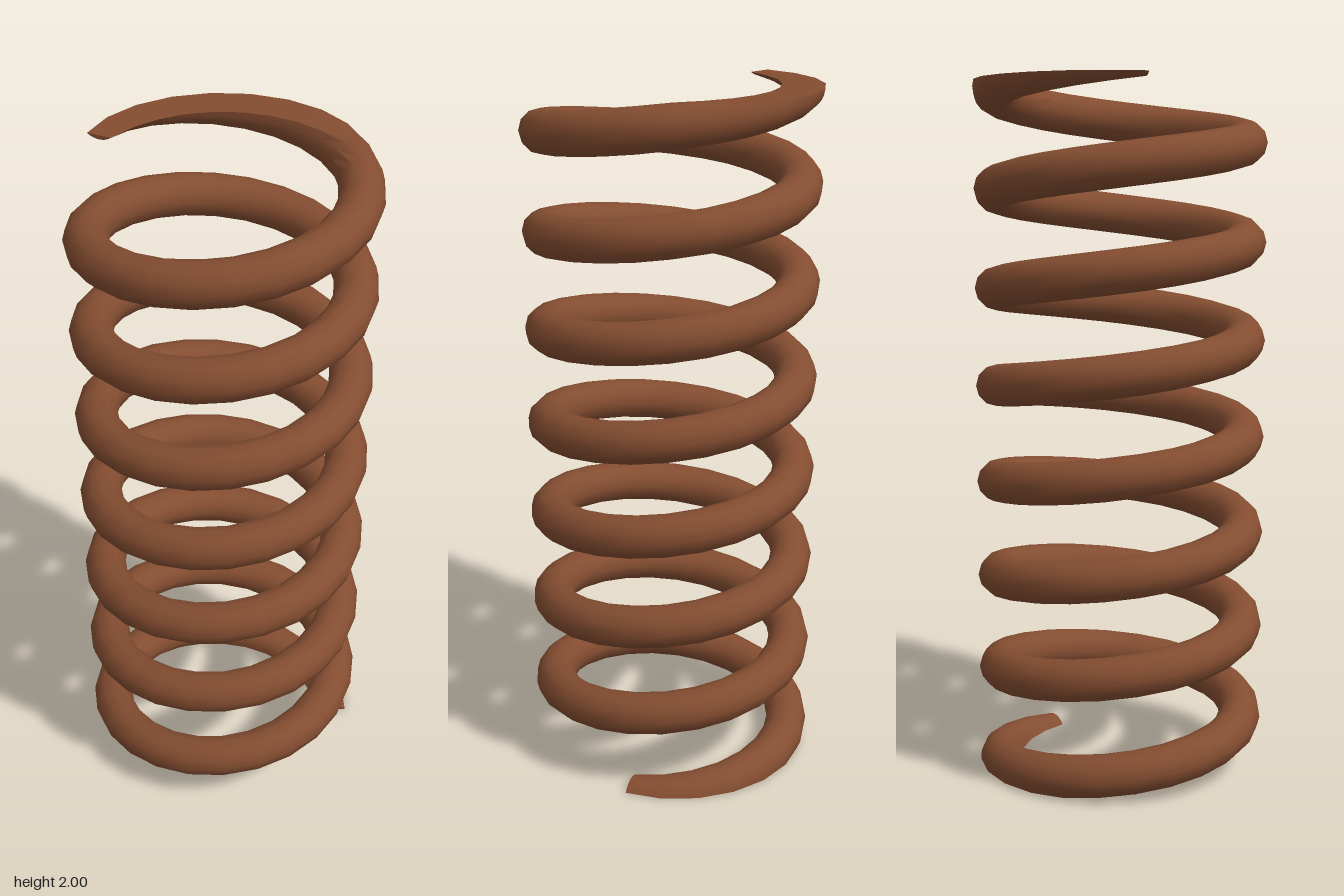
import * as THREE from 'three';
import { toCreasedNormals } from 'three/addons/utils/BufferGeometryUtils.js';

const COIL_RADIUS = 0.36;
const WIRE_RADIUS = 0.061;
const PITCH = 0.281;
const HEIGHT = 2;
const STEPS_PER_TURN = 24;
const ARC_POINTS = 7; // points on each half of the wire section

// Wire section at one turn angle: an outer and an inner arc,
// cut off where the wire would pass the floor or the top plane.
function wireSection(t) {
  const cy = 0.102 + (PITCH * t) / (2 * Math.PI);
  const cut = (y) => Math.asin(THREE.MathUtils.clamp((y - cy) / WIRE_RADIUS, -1, 1));
  const low = cut(0);
  const high = cut(HEIGHT);
  const points = [];
  for (let side = 0; side < 2; side++) {
    for (let k = 0; k < ARC_POINTS; k++) {
      const f = k / (ARC_POINTS - 1);
      const a = side === 0
        ? THREE.MathUtils.lerp(low, high, f)
        : Math.PI - THREE.MathUtils.lerp(high, low, f);
      const r = COIL_RADIUS + WIRE_RADIUS * Math.cos(a);
      points.push([-r * Math.cos(t), cy + WIRE_RADIUS * Math.sin(a), r * Math.sin(t)]);
    }
  }
  return points;
}

// Helical wire with flat-ground ends
function coilGeometry(start, end) {
  const steps = Math.round(((end - start) / (2 * Math.PI)) * STEPS_PER_TURN);
  const n = ARC_POINTS * 2;
  const rings = [];
  for (let i = 0; i <= steps; i++) {
    rings.push(wireSection(start + ((end - start) * i) / steps));
  }
  const positions = [];
  const same = (p, q) => Math.hypot(p[0] - q[0], p[1] - q[1], p[2] - q[2]) < 1e-6;
  const triangle = (a, b, c) => {
    if (!same(a, b) && !same(b, c) && !same(c, a)) positions.push(...a, ...b, ...c);
  };

  // Skin between neighbouring sections
  for (let i = 0; i < steps; i++) {
    for (let j = 0; j < n; j++) {
      const k = (j + 1) % n;
      triangle(rings[i][j], rings[i + 1][j], rings[i + 1][k]);
      triangle(rings[i][j], rings[i + 1][k], rings[i][k]);
    }
  }
  // End caps
  for (let j = 1; j < n - 1; j++) {
    triangle(rings[0][0], rings[0][j], rings[0][j + 1]);
    triangle(rings[steps][0], rings[steps][j + 1], rings[steps][j]);
  }

  const geometry = new THREE.BufferGeometry();
  geometry.setAttribute('position', new THREE.Float32BufferAttribute(positions, 3));
  return toCreasedNormals(geometry, 0.75);
}

export function createModel() {
  const group = new THREE.Group();
  group.name = 'coilSpring';

  const rust = new THREE.MeshStandardMaterial({ color: 0x844d31 });
  rust.name = 'rustBrown';

  const start = -Math.PI;
  const end = 2 * Math.PI * 7 - THREE.MathUtils.degToRad(25);
  const coil = new THREE.Mesh(coilGeometry(start, end), rust);
  coil.name = 'coil';
  group.add(coil);

  return group;
}
